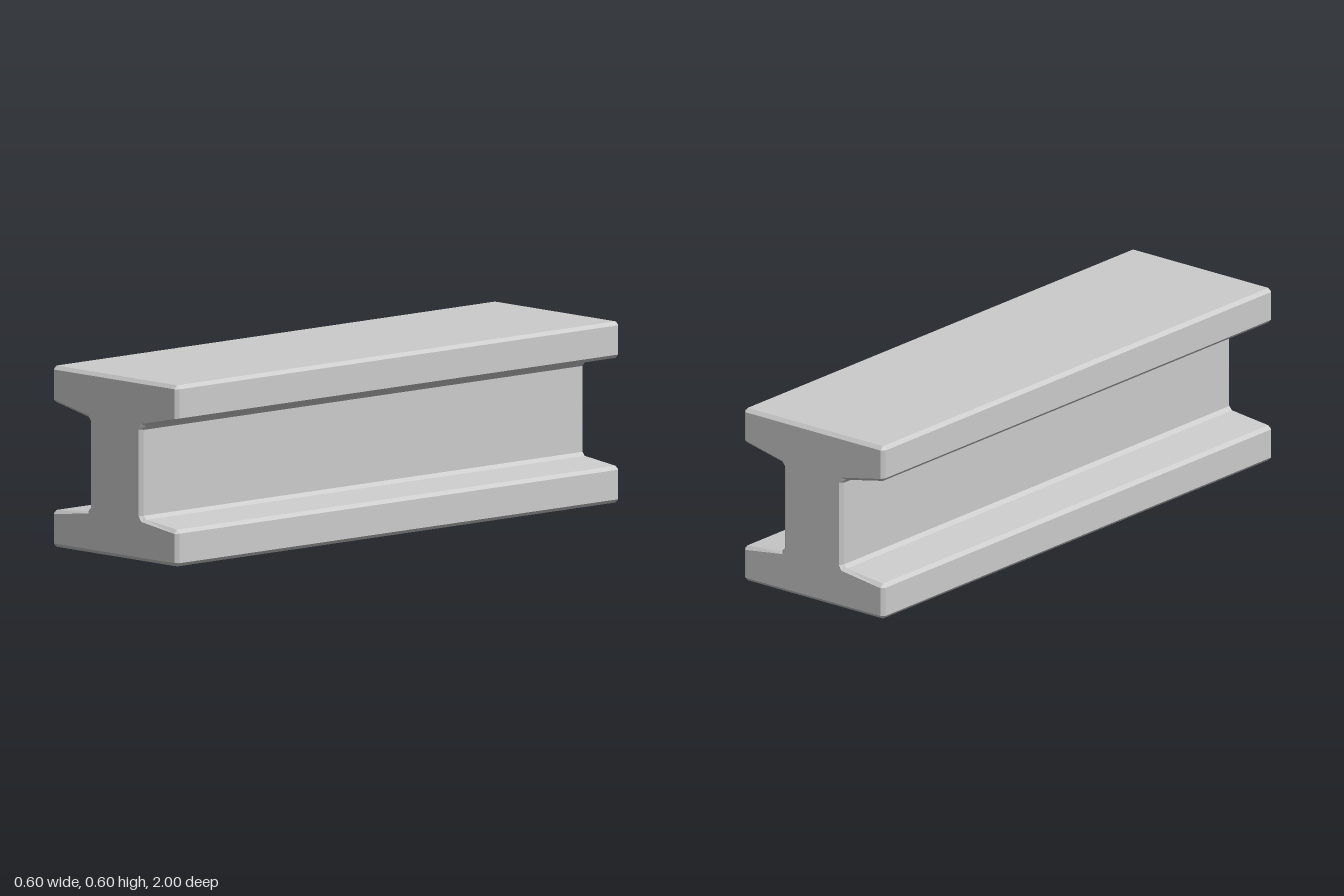
import * as THREE from 'three';

// Right half of the cross-section, bottom to top: [outer x, outer y, end-face x, end-face y]
const HALF = [
  [0.288, 0.0, 0.288, 0.012],
  [0.3, 0.012, 0.288, 0.012],
  [0.3, 0.11, 0.288, 0.109],
  [0.288, 0.122, 0.288, 0.109],
  [0.141, 0.138, 0.129, 0.131],
  [0.129, 0.15, 0.1175, 0.148],
  [0.129, 0.435, 0.1175, 0.437],
  [0.141, 0.448, 0.129, 0.456],
  [0.288, 0.48, 0.288, 0.49],
  [0.3, 0.492, 0.288, 0.49],
  [0.3, 0.589, 0.288, 0.589],
  [0.288, 0.601, 0.288, 0.589],
];
const HALF_LENGTH = 1, BEVEL = 0.012;
const WEB_SHIFT = 0.0075; // the web sits slightly off centre

// Closed counter-clockwise outline from the half section
function outline(ix, iy) {
  const right = HALF.map((p) => new THREE.Vector2(p[ix], p[iy]));
  const left = right
    .map((p) => new THREE.Vector2(-p.x + (p.x < 0.2 ? WEB_SHIFT : 0), p.y))
    .reverse();
  return [...right, ...left];
}

function beamGeometry() {
  const outer = outline(0, 1), inner = outline(2, 3);
  const at = (loop, z) => loop.map((p) => new THREE.Vector3(p.x, p.y, z));
  const rings = [
    at(inner, HALF_LENGTH),
    at(outer, HALF_LENGTH - BEVEL),
    at(outer, -HALF_LENGTH + BEVEL),
    at(inner, -HALF_LENGTH),
  ];
  const positions = [];
  const tri = (a, b, c) => {
    const area = new THREE.Triangle(a, b, c).getArea();
    if (area > 1e-9) for (const p of [a, b, c]) positions.push(p.x, p.y, p.z);
  };

  // Long sides and the bevels around both ends
  const n = outer.length;
  for (let r = 0; r < rings.length - 1; r++) {
    const front = rings[r], back = rings[r + 1];
    for (let i = 0; i < n; i++) {
      const j = (i + 1) % n;
      tri(front[i], back[i], back[j]);
      tri(front[i], back[j], front[j]);
    }
  }

  // End faces
  for (const [a, b, c] of THREE.ShapeUtils.triangulateShape(inner, [])) {
    tri(rings[0][a], rings[0][b], rings[0][c]);
    tri(rings[3][a], rings[3][c], rings[3][b]);
  }

  const geometry = new THREE.BufferGeometry();
  geometry.setAttribute('position', new THREE.Float32BufferAttribute(positions, 3));
  geometry.computeVertexNormals();
  return geometry;
}

export function createModel() {
  const group = new THREE.Group();
  group.name = 'girder';
  const material = new THREE.MeshStandardMaterial({ color: 0xcccccc, flatShading: true });
  const beam = new THREE.Mesh(beamGeometry(), material);
  beam.name = 'beam';
  group.add(beam);
  return group;
}
